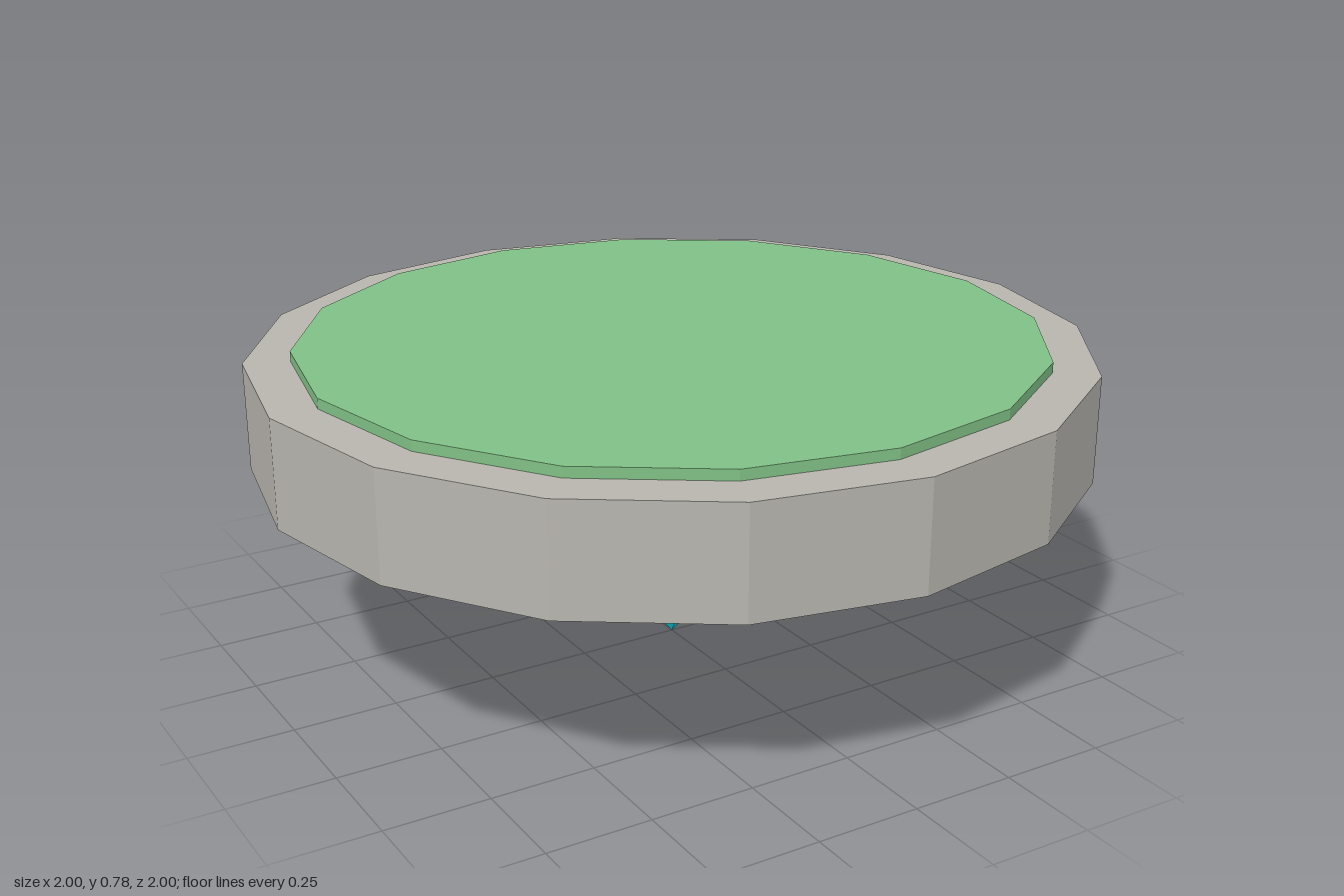
import * as THREE from 'three';
import { ConvexGeometry } from 'three/addons/geometries/ConvexGeometry.js';

const material = (name, color) => {
  const m = new THREE.MeshStandardMaterial({ color, flatShading: true });
  m.name = name;
  return m;
};

// Sixteen-sided slab between two heights
function slab(name, radius, y0, y1, mat) {
  const mesh = new THREE.Mesh(new THREE.CylinderGeometry(radius, radius, y1 - y0, 16), mat);
  mesh.position.y = (y0 + y1) / 2;
  mesh.name = name;
  return mesh;
}

export function createModel() {
  const group = new THREE.Group();
  group.name = 'floatingPlatform';

  // Stone disc with a thin grass layer on top
  group.add(slab('stoneDisc', 1, 0.493, 0.752, material('stone', 0xb8b5af)));
  group.add(slab('grassTop', 0.89, 0.74, 0.777, material('grass', 0x80c085)));

  // Faceted crystal: two opposed pentagon rings between two tips
  const points = [new THREE.Vector3(0, 0, 0), new THREE.Vector3(0, 0.625, 0)];
  for (let i = 0; i < 5; i++) {
    const a = (i * Math.PI * 2) / 5;
    const x = 0.148 * Math.cos(a), z = 0.148 * Math.sin(a);
    points.push(new THREE.Vector3(x, 0.452, z), new THREE.Vector3(-x, 0.173, z));
  }
  const crystal = new THREE.Mesh(new ConvexGeometry(points), material('crystal', 0x10dce8));
  crystal.name = 'crystal';
  group.add(crystal);

  return group;
}
